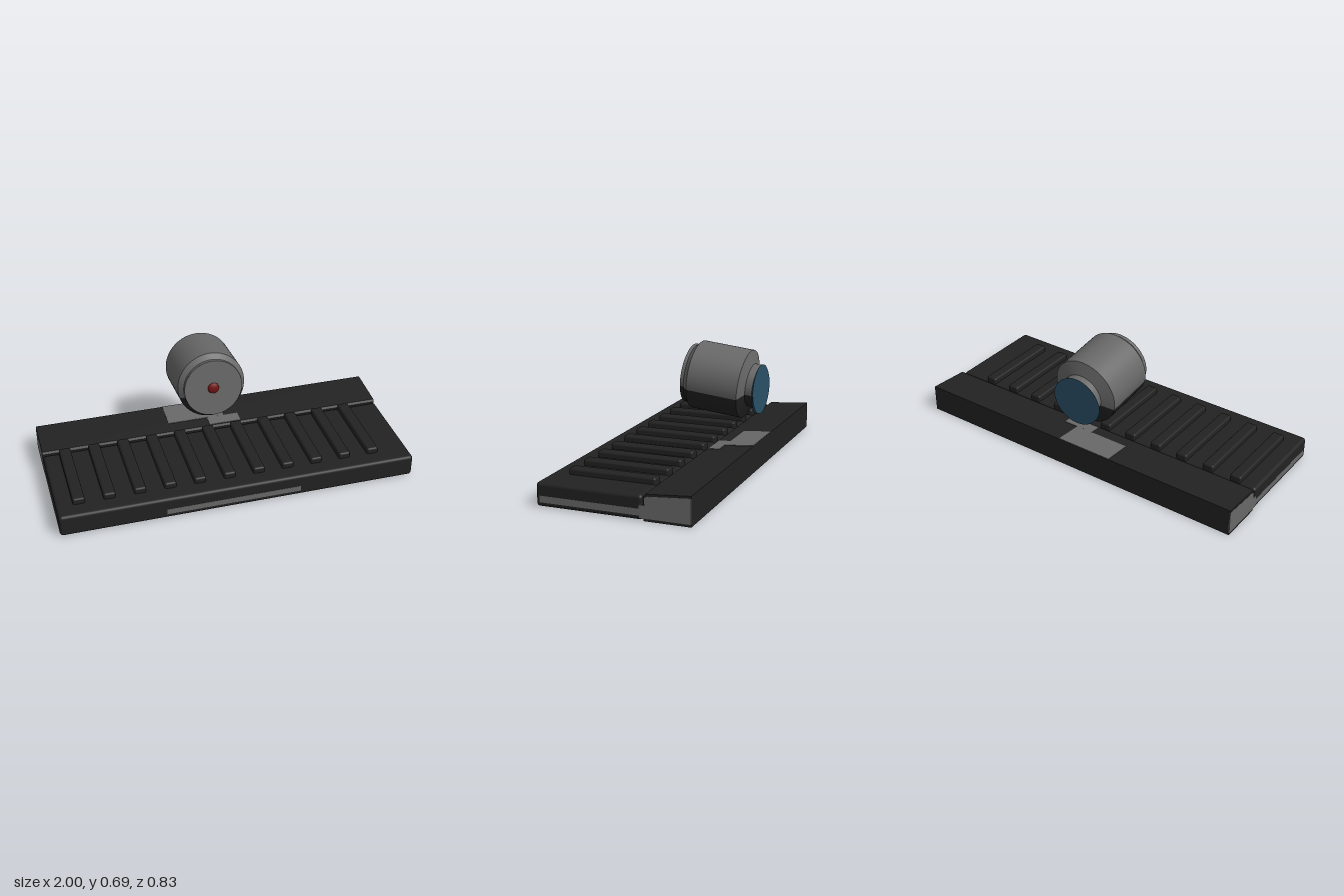
import * as THREE from 'three';
import { RoundedBoxGeometry } from 'three/addons/geometries/RoundedBoxGeometry.js';

const paint = (name, color) => Object.assign(new THREE.MeshStandardMaterial({ color }), { name });

export function createModel() {
  const black = paint('black', 0x222222);
  const grey = paint('grey', 0x686868);
  const blue = paint('blue', 0x2a5068);
  const red = paint('red', 0x701212);
  const model = new THREE.Group();
  model.name = 'model';

  const add = (parent, name, geometry, material, x = 0, y = 0, z = 0) => {
    const mesh = new THREE.Mesh(geometry, material);
    mesh.name = name;
    mesh.position.set(x, y, z);
    parent.add(mesh);
    return mesh;
  };
  // box given by its extents
  const box = (name, material, [x0, x1], [y0, y1], [z0, z1], radius = 0) => {
    const size = [x1 - x0, y1 - y0, z1 - z0];
    const geometry = radius ? new RoundedBoxGeometry(...size, 3, radius) : new THREE.BoxGeometry(...size);
    return add(model, name, geometry, material, (x0 + x1) / 2, (y0 + y1) / 2, (z0 + z1) / 2);
  };
  // side profile in (z, y), extruded across x
  const prism = (name, material, points, x0, x1) => {
    const shape = new THREE.Shape(points.map(p => new THREE.Vector2(...p)));
    const geometry = new THREE.ExtrudeGeometry(shape, { depth: x1 - x0, bevelEnabled: false });
    geometry.rotateY(-Math.PI / 2);
    return add(model, name, geometry, material, x1);
  };

  // front slab with raised ribs
  box('frontSlab', black, [-0.999, 0.999], [0.002, 0.127], [-0.16, 0.415], 0.018);
  for (let i = 0; i < 11; i++) {
    const x = -0.876 + i * 0.1665;
    box('rib', black, [x - 0.033, x + 0.033], [0.1, 0.16], [-0.156, 0.323], 0.012);
  }
  box('frontStrip', grey, [-0.42, 0.335], [0.028, 0.06], [0.41, 0.416]);

  // rear block with sloping top
  prism('rearBlock', black, [
    [-0.415, 0], [-0.17, 0], [-0.168, 0.125], [-0.178, 0.137], [-0.415, 0.155],
  ], -0.999, 0.999);
  box('connector', black, [-0.98, 0.98], [0.005, 0.08], [-0.2, -0.14]);

  // grey trim on both ends
  for (const side of [-1, 1]) {
    const span = (a, b) => (side > 0 ? [a, b] : [-b, -a]);
    box('sideStrip', grey, span(0.995, 1), [0.025, 0.06], [-0.15, 0.395]);
    box('cornerTab', grey, span(0.975, 0.9945), [0.02, 0.066], [0.38, 0.409]);
    box('sideTab', grey, span(0.995, 1), [0.012, 0.08], [-0.2, -0.145]);
    prism('rearSidePlate', grey, [
      [-0.415, 0.013], [-0.18, 0.013], [-0.172, 0.115], [-0.19, 0.126], [-0.415, 0.143],
    ], ...span(0.995, 1));
  }

  // flat patches on the sloping top
  const topPatch = (x0, x1, z0, z1) => {
    const z = (z0 + z1) / 2;
    const y = 0.137 + (-0.178 - z) * 0.076;
    box('topPatch', grey, [x0, x1], [y - 0.002, y + 0.003], [z0, z1]).rotation.x = 0.076;
  };
  topPatch(-0.25, 0.08, -0.414, -0.25);
  topPatch(-0.02, 0.165, -0.25, -0.182);

  // tilted barrel, pointing to the front, with a dark underside
  const tilt = 0.116;
  const barrel = new THREE.Group();
  barrel.name = 'barrel';
  barrel.position.set(-0.047, 0.508, -0.003);
  barrel.rotation.x = Math.PI / 2 - tilt;
  model.add(barrel);
  const profile = [
    [0.118, -0.4], [0.118, -0.36], [0.19, -0.337], [0.19, -0.047], [0.1635, -0.02], [0.1635, 0],
  ].map(p => new THREE.Vector2(...p));
  const half = 1.29;
  for (let i = 0; i < profile.length - 1; i++) {
    const band = profile.slice(i, i + 2);
    add(barrel, 'barrelUpper', new THREE.LatheGeometry(band, 36, half, 2 * (Math.PI - half)), grey);
    add(barrel, 'barrelUnderside', new THREE.LatheGeometry(band, 24, -half, 2 * half), black);
  }
  add(barrel, 'frontFace', new THREE.CircleGeometry(0.1635, 48).rotateX(-Math.PI / 2), grey);
  add(barrel, 'redButton', new THREE.SphereGeometry(0.032, 16, 8).scale(1, 0.45, 1), red);

  // flared rear lens, trimmed flat at the back
  const cut = -0.415, segments = 40, positions = [], indices = [];
  const ringPoint = (r, s, a) => new THREE.Vector3(
    -0.047 + r * Math.sin(a),
    0.508 - s * Math.sin(tilt) + r * Math.cos(a) * Math.cos(tilt),
    -0.003 - s * Math.cos(tilt) - r * Math.cos(a) * Math.sin(tilt));
  for (let i = 0; i <= segments; i++) {
    const a = (i / segments) * Math.PI * 2;
    const inner = ringPoint(0.118, 0.399, a);
    const outer = ringPoint(0.15, 0.415, a);
    if (outer.z < cut) outer.lerpVectors(inner, outer, (cut - inner.z) / (outer.z - inner.z));
    const back = outer.clone().setZ(cut);
    const centre = new THREE.Vector3(-0.047, 0.455, cut);
    for (const p of [inner, outer, back, centre]) positions.push(p.x, p.y, p.z);
    if (i === segments) break;
    for (let k = 0; k < 3; k++) {
      const p = i * 4 + k, q = p + 4;
      indices.push(p, p + 1, q, q, p + 1, q + 1);
    }
  }
  let lens = new THREE.BufferGeometry();
  lens.setAttribute('position', new THREE.Float32BufferAttribute(positions, 3));
  lens.setIndex(indices);
  lens = lens.toNonIndexed();
  lens.computeVertexNormals();
  blue.side = THREE.DoubleSide;
  add(model, 'rearLens', lens, blue);

  return model;
}
